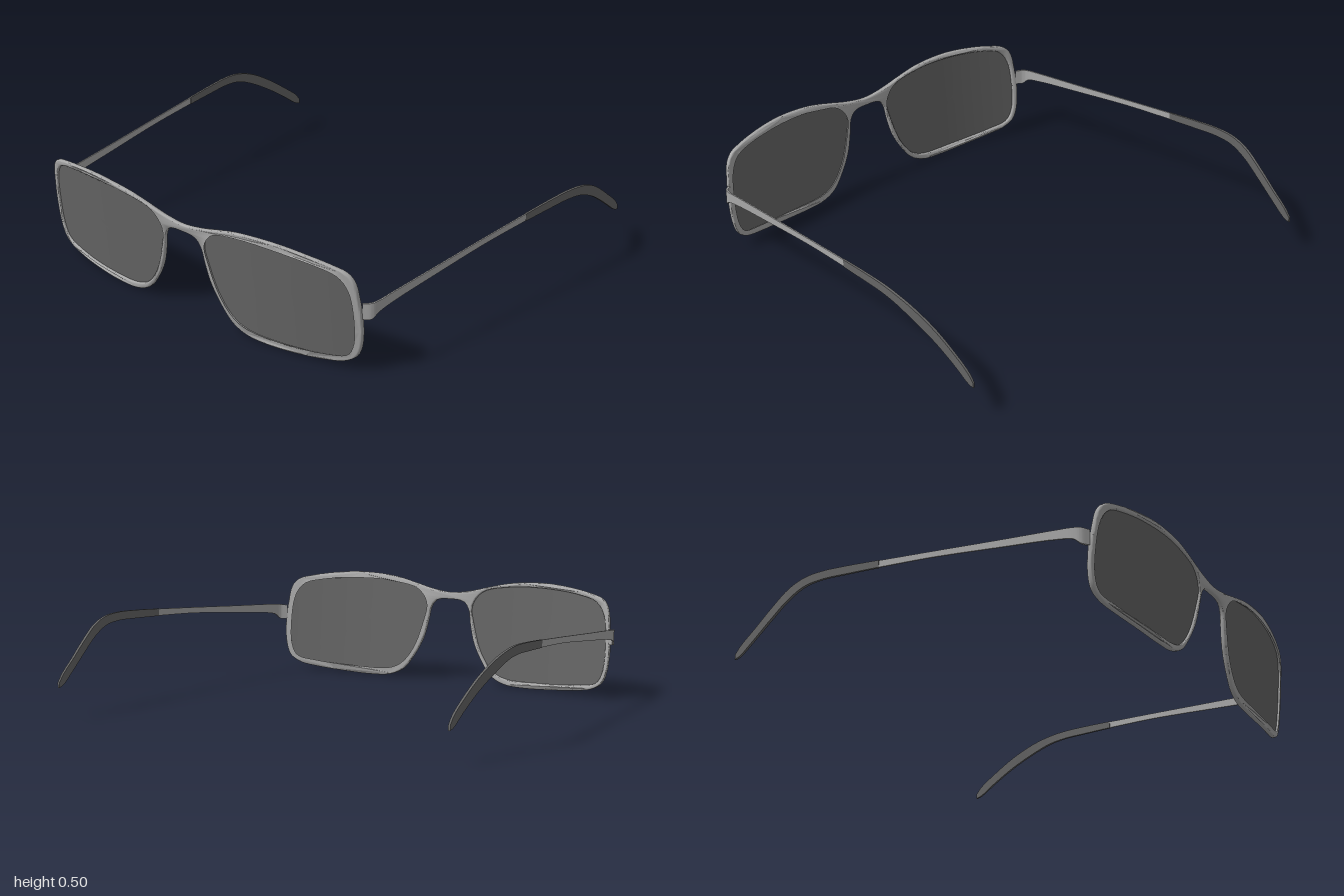
import * as THREE from 'three';
import { toCreasedNormals } from 'three/addons/utils/BufferGeometryUtils.js';

const metal = new THREE.MeshStandardMaterial({ name: 'light grey frame', color: 0xa8a8a8, side: THREE.DoubleSide });
const dark = new THREE.MeshStandardMaterial({ name: 'dark grey', color: 0x656565, side: THREE.DoubleSide });

// Half outline of the whole front, from the bridge top round to the bridge underside
const OUTER = [
  [0, 0.425], [0.1, 0.437], [0.2, 0.461], [0.3, 0.483], [0.4, 0.494], [0.52, 0.497], [0.65, 0.486],
  [0.76, 0.468], [0.82, 0.45], [0.85, 0.415], [0.866, 0.33], [0.873, 0.22], [0.862, 0.12], [0.84, 0.07],
  [0.79, 0.038], [0.7, 0.02], [0.58, 0.008], [0.42, 0], [0.31, 0.008], [0.24, 0.04], [0.19, 0.1],
  [0.14, 0.19], [0.115, 0.28], [0.103, 0.345], [0.08, 0.38], [0.045, 0.391], [0, 0.392],
];
// Opening for the lens
const INNER = [
  [0.128, 0.39], [0.175, 0.438], [0.31, 0.467], [0.47, 0.474], [0.685, 0.459], [0.79, 0.432], [0.833, 0.375],
  [0.85, 0.23], [0.84, 0.12], [0.81, 0.068], [0.71, 0.045], [0.47, 0.029], [0.31, 0.035], [0.24, 0.068],
  [0.175, 0.155], [0.128, 0.295], [0.117, 0.35],
];
// Temple stations: z, x, top y, bottom y, thickness
const ARM = [
  [0.785, 0.868, 0.318, 0.25, 0.01], [0.762, 0.897, 0.322, 0.252, 0.009], [0.735, 0.907, 0.325, 0.274, 0.007],
  [0.66, 0.913, 0.332, 0.29, 0.006], [0.4, 0.931, 0.352, 0.319, 0.006], [0.1, 0.953, 0.376, 0.349, 0.006],
  [-0.15, 0.972, 0.395, 0.364, 0.006],
];
const TIP = [
  [-0.15, 0.972, 0.396, 0.363, 0.009], [-0.3, 0.984, 0.406, 0.369, 0.01], [-0.42, 0.993, 0.41, 0.372, 0.011],
  [-0.51, 0.996, 0.402, 0.361, 0.012], [-0.6, 0.988, 0.375, 0.325, 0.012], [-0.7, 0.97, 0.32, 0.268, 0.012],
  [-0.8, 0.956, 0.25, 0.2, 0.011], [-0.875, 0.95, 0.193, 0.147, 0.01], [-0.903, 0.949, 0.16, 0.138, 0.009],
];

// Wrapped and tilted front surface
function surfaceZ(x, y) {
  const k = Math.max(0, Math.abs(x) - 0.3) / 0.57;
  return 0.856 + 0.1 * y - 0.083 * k * k;
}

function bend(geometry) {
  const p = geometry.attributes.position;
  for (let i = 0; i < p.count; i++) p.setZ(i, p.getZ(i) + surfaceZ(p.getX(i), p.getY(i)));
  return geometry;
}

function closedLoop(points, count) {
  const curve = new THREE.CatmullRomCurve3(points.map(([x, y]) => new THREE.Vector3(x, y, 0)), true);
  return curve.getSpacedPoints(count).slice(0, count).map((p) => new THREE.Vector2(p.x, p.y));
}

function indexed(positions, index) {
  const g = new THREE.BufferGeometry();
  g.setAttribute('position', new THREE.Float32BufferAttribute(positions, 3));
  g.setIndex(index);
  g.computeVertexNormals();
  return g;
}

// Frame and bridge in one bevelled piece
function frameGeometry() {
  const left = OUTER.slice(1, -1).reverse().map(([x, y]) => [-x, y]);
  const shape = new THREE.Shape(closedLoop([...OUTER, ...left], 240));
  for (const s of [1, -1]) {
    shape.holes.push(new THREE.Path(closedLoop(INNER.map(([x, y]) => [s * x, y]), 100)));
  }
  const g = new THREE.ExtrudeGeometry(shape, {
    depth: 0.01, bevelThickness: 0.006, bevelSize: 0.006, bevelOffset: -0.006, bevelSegments: 3,
  });
  g.translate(0, 0, -0.014);
  return toCreasedNormals(bend(g), 0.8);
}

// Lens as concentric rings following the curved front
function lensGeometry(side) {
  const loop = closedLoop(INNER, 100), rings = 10, n = loop.length;
  const cx = 0.49, cy = 0.25, pos = [], index = [];
  for (let r = 0; r <= rings; r++) {
    const k = 1.012 * r / rings;
    for (const p of loop) pos.push(side * (cx + (p.x - cx) * k), cy + (p.y - cy) * k, -0.009);
  }
  for (let r = 0; r < rings; r++) {
    for (let i = 0; i < n; i++) {
      const a = r * n + i, b = r * n + (i + 1) % n, c = a + n, d = b + n;
      const tris = r ? [[a, b, c], [b, d, c]] : [[a, d, c]];
      for (const [u, v, w] of tris) side > 0 ? index.push(u, v, w) : index.push(u, w, v);
    }
  }
  const g = bend(indexed(pos, index));
  g.computeVertexNormals();
  return g;
}

// Flat strip lofted through the stations, with closed ends
function stripGeometry(stations, side, steps) {
  const edge = (k) => new THREE.CatmullRomCurve3(stations.map((s) => new THREE.Vector3(s[1], s[k], s[0])));
  const top = edge(2), bottom = edge(3), pos = [], index = [];
  for (let i = 0; i <= steps; i++) {
    const t = i / steps, a = top.getPoint(t), b = bottom.getPoint(t);
    const f = t * (stations.length - 1), j = Math.min(Math.floor(f), stations.length - 2);
    const h = THREE.MathUtils.lerp(stations[j][4], stations[j + 1][4], f - j) / 2;
    const d = top.getTangent(t), len = Math.hypot(d.x, d.z);
    const nx = -d.z / len * h, nz = d.x / len * h;
    for (const [p, o] of [[a, 1], [a, -1], [b, -1], [b, 1]]) pos.push(side * (p.x + nx * o), p.y, p.z + nz * o);
  }
  const quad = (a, b, c, d) => (side > 0 ? index.push(a, b, c, a, c, d) : index.push(a, c, b, a, d, c));
  for (let i = 0; i < steps; i++) {
    for (let k = 0; k < 4; k++) {
      const a = i * 4 + k, b = i * 4 + (k + 1) % 4;
      quad(a, a + 4, b + 4, b);
    }
  }
  const e = steps * 4;
  quad(0, 1, 2, 3);
  quad(e + 3, e + 2, e + 1, e);
  return toCreasedNormals(indexed(pos, index), 0.7);
}

export function createModel() {
  const model = new THREE.Group();
  model.name = 'sunglasses';
  const add = (name, geometry, material) => {
    const mesh = new THREE.Mesh(geometry, material);
    mesh.name = name;
    model.add(mesh);
  };
  add('frame', frameGeometry(), metal);
  for (const [side, word] of [[1, 'left'], [-1, 'right']]) {
    add(word + 'Lens', lensGeometry(side), dark);
    add(word + 'Temple', stripGeometry(ARM, side, 36), metal);
    add(word + 'TempleTip', stripGeometry(TIP, side, 40), dark);
  }
  return model;
}
